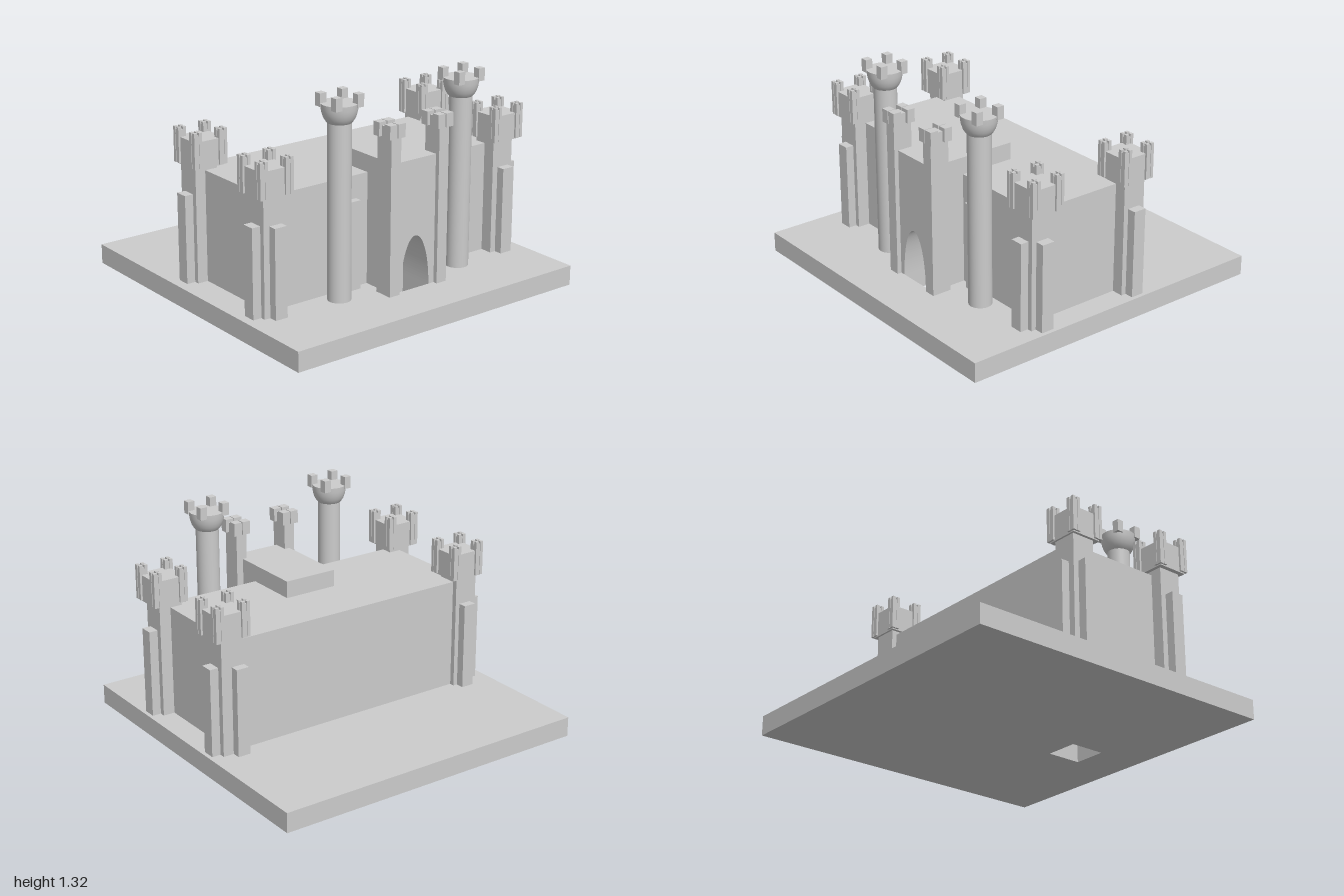
import * as THREE from 'three';

export function createModel() {
  const root = new THREE.Group();
  root.name = 'castle';
  const mat = new THREE.MeshStandardMaterial({ color: 0xcccccc, flatShading: true });
  const smooth = new THREE.MeshStandardMaterial({ color: 0xcccccc });
  const ground = 0.12;

  function add(parent, name, geometry, material = mat) {
    const mesh = new THREE.Mesh(geometry, material);
    mesh.name = name;
    parent.add(mesh);
    return mesh;
  }
  // Box given by its minimum and maximum on each axis
  function box(parent, name, x0, x1, y0, y1, z0, z1) {
    const mesh = add(parent, name, new THREE.BoxGeometry(x1 - x0, y1 - y0, z1 - z0));
    mesh.position.set((x0 + x1) / 2, (y0 + y1) / 2, (z0 + z1) / 2);
    return mesh;
  }
  // Upright block centred on x, z
  function block(parent, name, x, z, w, d, y0, y1) {
    return box(parent, name, x - w / 2, x + w / 2, y0, y1, z - d / 2, z + d / 2);
  }
  function group(name, x, z) {
    const g = new THREE.Group();
    g.name = name;
    g.position.set(x, 0, z);
    root.add(g);
    return g;
  }
  const corners = [[-1, -1], [1, -1], [1, 1], [-1, 1]];

  // Ground slab, open below the gate passage
  const gateX = 0.05, gateHalf = 0.104, wallZ = 0.475, gateZ = 0.70;
  const slab = new THREE.Shape(corners.map(([x, z]) => new THREE.Vector2(x, z)));
  slab.holes.push(new THREE.Path([
    new THREE.Vector2(gateX - gateHalf, -gateZ), new THREE.Vector2(gateX - gateHalf, -wallZ),
    new THREE.Vector2(gateX + gateHalf, -wallZ), new THREE.Vector2(gateX + gateHalf, -gateZ),
  ]));
  const slabGeometry = new THREE.ExtrudeGeometry(slab, { depth: ground, bevelEnabled: false });
  slabGeometry.rotateX(-Math.PI / 2);
  add(root, 'base', slabGeometry);

  // Main hall
  box(root, 'hall', -0.82, 0.85, ground, 0.79, -0.225, wallZ);

  // Gatehouse: raised rear block and front block with arched passage
  box(root, 'gatehouseRear', -0.118, 0.22, 0.7, 0.893, 0.135, wallZ);
  const gate = new THREE.Shape();
  gate.moveTo(-0.118, ground);
  gate.lineTo(gateX - gateHalf, ground);
  gate.absellipse(gateX, ground, gateHalf, 0.318, Math.PI, 0, true);
  gate.lineTo(0.22, ground);
  gate.lineTo(0.22, 0.893);
  gate.lineTo(-0.118, 0.893);
  gate.closePath();
  add(root, 'gatehouseFront', new THREE.ExtrudeGeometry(gate, {
    depth: gateZ - wallZ, bevelEnabled: false, curveSegments: 32,
  })).position.z = wallZ;

  // Slim square turrets beside the gate
  for (const x of [-0.12, 0.228]) {
    const turret = group('gateTurret', x, 0.667);
    block(turret, 'turretShaft', 0, 0, 0.07, 0.12, ground, 1.11);
    for (const [sx, sz] of corners)
      block(turret, 'turretMerlon', sx * 0.029, sz * 0.047, 0.052, 0.05, 1.05, 1.13);
  }

  // Round towers with flared bowl tops
  const bowl = [[0.069, 1.155], [0.078, 1.165], [0.09, 1.185], [0.098, 1.21],
    [0.103, 1.235], [0.105, 1.265]].map(([r, y]) => new THREE.Vector2(r, y));
  for (const x of [-0.39, 0.49]) {
    const tower = group('roundTower', x, 0.567);
    add(tower, 'roundShaft', new THREE.CylinderGeometry(0.068, 0.068, 1.16 - ground, 32), smooth)
      .position.y = (1.16 + ground) / 2;
    add(tower, 'bowl', new THREE.LatheGeometry(bowl, 32), smooth);
    for (const [y, r, turn] of [[1.265, 0.105, -1], [1.155, 0.069, 1]]) {
      const cap = add(tower, 'bowlCap', new THREE.CircleGeometry(r, 32));
      cap.rotation.x = turn * Math.PI / 2;
      cap.position.y = y;
    }
    for (const [sx, sz] of corners)
      block(tower, 'roundTowerMerlon', sx * 0.075, sz * 0.07, 0.044, 0.044, 1.245, 1.32);
  }

  // Square corner towers: shaft, two buttresses, crown with notched corner posts
  const towers = [
    [-0.818, 0.478, -0.005], [0.848, 0.478, 0.012],
    [-0.812, -0.183, 0.006], [0.848, -0.183, 0.006],
  ];
  for (const [x, z, crownX] of towers) {
    const tower = group('cornerTower', x, z);
    const ox = Math.sign(x), oz = Math.sign(z);
    block(tower, 'shaft', 0, 0, 0.148, 0.146, ground, 0.83);
    block(tower, 'sideButtress', ox * 0.098, 0.002, 0.06, 0.08, ground, 0.652);
    const shift = z > 0 ? 0.004 : x > 0 ? -0.032 : 0.006;
    block(tower, 'endButtress', shift, oz * 0.096, 0.08, 0.056, ground, 0.652);

    const crown = new THREE.Group();
    crown.name = 'crown';
    crown.position.set(crownX, 0, z > 0 ? 0 : 0.01);
    tower.add(crown);
    block(crown, 'crownBody', 0, 0, 0.195, 0.19, 0.813, 0.973);
    for (const [sx, sz] of corners) {
      const px = sx * 0.084, pz = sz * 0.081;
      block(crown, 'cornerPost', px, pz, 0.046, 0.046, 0.82, 1.015);
      for (const [tx, tz] of corners)
        block(crown, 'postTooth', px + tx * 0.016, pz + tz * 0.016, 0.02, 0.02, 0.82, 1.03);
    }
  }

  // Buttresses on the front wall
  for (const x of [-0.238, 0.332])
    block(root, 'wallButtress', x, 0.49, 0.08, 0.056, ground, 0.652);

  return root;
}
